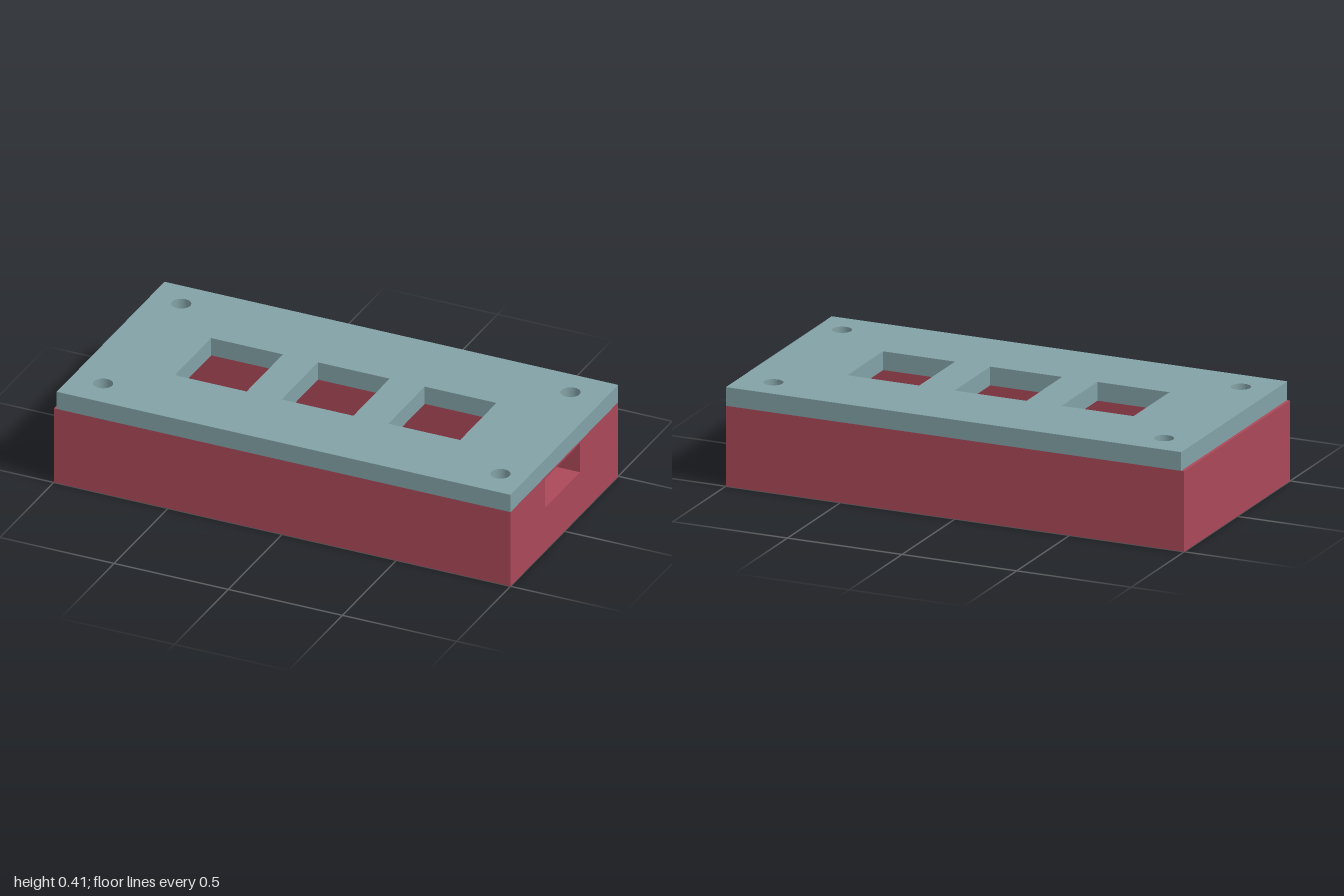
import * as THREE from 'three';

const red = new THREE.MeshStandardMaterial({ color: 0xab4858 });
const teal = new THREE.MeshStandardMaterial({ color: 0x83a2a7 });

// Screw hole centres [x, z], running through lid and body
const SCREWS = [[-0.85, -0.365], [0.855, -0.365], [-0.85, 0.36], [0.89, 0.36]];
const SCREW_RADIUS = 0.04;

// Inner cavity and cable slot limits
const CAVITY = { x0: -0.81, x1: 0.78, z0: -0.325, z1: 0.335 };
const SLOT = { z0: -0.145, z1: 0.18 };

const rectPoints = (x0, x1, z0, z1) => [[x0, z0], [x1, z0], [x1, z1], [x0, z1]];
const toVectors = (points) => points.map(([x, z]) => new THREE.Vector2(x, z));

// Horizontal slab from an (x, z) outline, with cut-outs and the screw holes
function slab(name, material, outline, cutouts, bottom, top) {
  const shape = new THREE.Shape(toVectors(outline));
  for (const c of cutouts) shape.holes.push(new THREE.Path(toVectors(c)));
  for (const [x, z] of SCREWS) {
    shape.holes.push(new THREE.Path().absarc(x, z, SCREW_RADIUS, 0, Math.PI * 2, true));
  }
  const geometry = new THREE.ExtrudeGeometry(shape, {
    depth: top - bottom, bevelEnabled: false, curveSegments: 32,
  });
  geometry.rotateX(Math.PI / 2).translate(0, top, 0);
  const mesh = new THREE.Mesh(geometry, material);
  mesh.name = name;
  return mesh;
}

export function createModel() {
  const model = new THREE.Group();
  model.name = 'enclosure';

  const { x0, x1, z0, z1 } = CAVITY;
  const outer = rectPoints(-1, 1, -0.5, 0.5);
  const cavity = rectPoints(x0, x1, z0, z1);

  // Wall ring opened on the +x side by the cable slot
  const slotted = [
    [-1, -0.5], [1, -0.5], [1, SLOT.z0], [x1, SLOT.z0], [x1, z0], [x0, z0],
    [x0, z1], [x1, z1], [x1, SLOT.z1], [1, SLOT.z1], [1, 0.5], [-1, 0.5],
  ];

  // Hollow body, stacked from floor to rim
  const body = new THREE.Group();
  body.name = 'body';
  body.add(
    slab('floor', red, outer, [], 0, 0.1),
    slab('lowerWall', red, outer, [cavity], 0.1, 0.195),
    slab('slottedWall', red, slotted, [], 0.195, 0.325),
    slab('rim', red, outer, [cavity], 0.325, 0.335),
  );

  // Lid with three square windows
  const windows = [-0.465, 0.0025, 0.47].map((x) => rectPoints(x - 0.157, x + 0.157, -0.16, 0.177));
  const lid = slab('lid', teal, rectPoints(-0.987, 1, -0.5, 0.5), windows, 0.335, 0.413);

  model.add(body, lid);
  return model;
}
